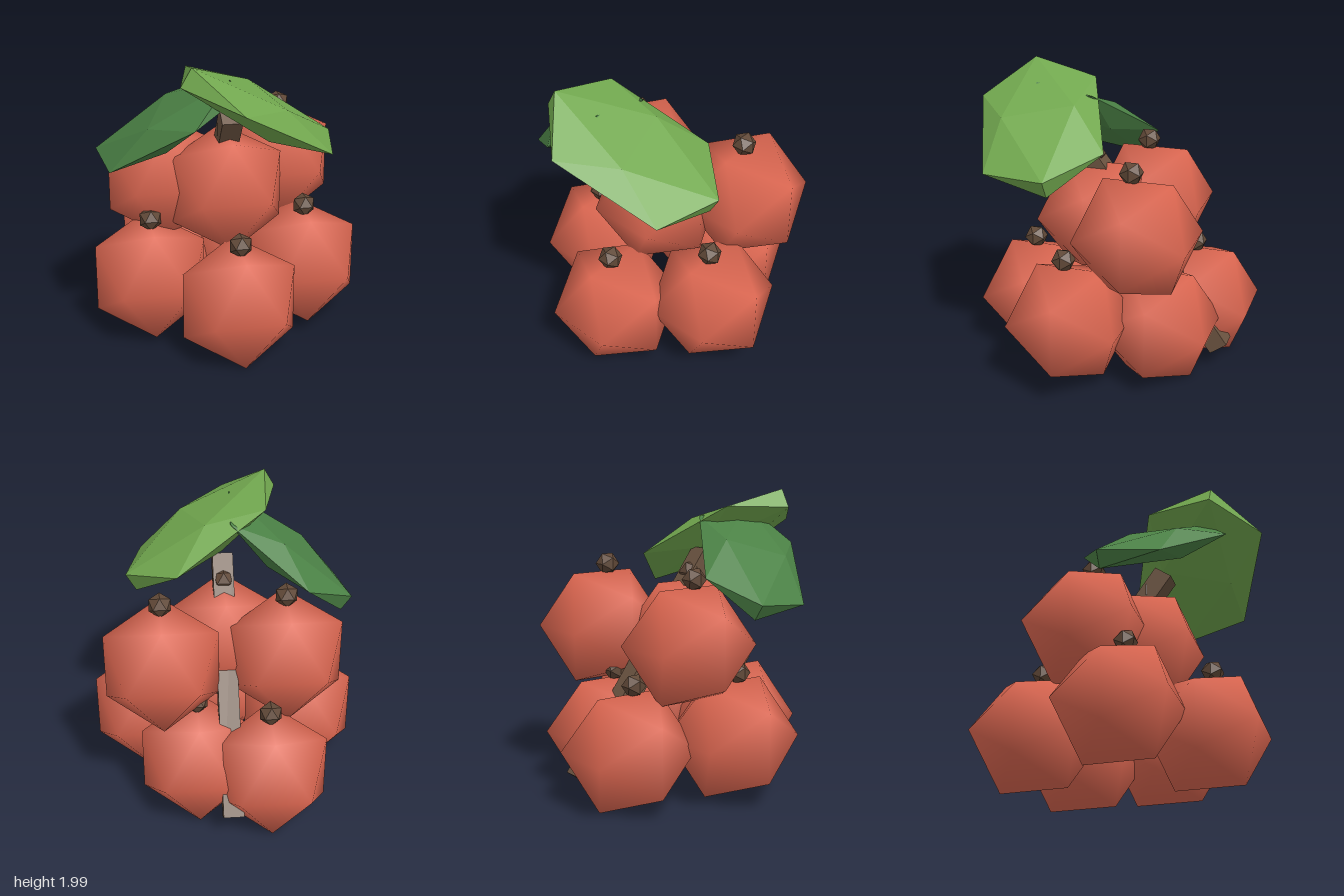
import * as THREE from 'three';
import { mergeVertices } from 'three/addons/utils/BufferGeometryUtils.js';

function material(name, color, flatShading = false) {
  const m = new THREE.MeshStandardMaterial({ color, flatShading });
  m.name = name;
  return m;
}

// Twenty-sided ball whose upper edge runs along z; optionally smooth-shaded
function ball(smooth) {
  let g = new THREE.IcosahedronGeometry(1, 0).rotateY(Math.PI / 2);
  if (smooth) {
    g.deleteAttribute('uv');
    g.deleteAttribute('normal');
    g = mergeVertices(g, 1e-4);
    g.computeVertexNormals();
  }
  return g;
}

export function createModel() {
  const root = new THREE.Group();
  root.name = 'berryCluster';

  const berryRed = material('berry red', 0xdb6650);
  const stalkBrown = material('stalk brown', 0x604837, true);
  const branchBrown = material('branch brown', 0x6b5340, true);
  const lightGreen = material('light leaf green', 0x72a84f, true);
  const darkGreen = material('dark leaf green', 0x4b8145, true);

  const smoothBall = ball(true);
  const facetedBall = ball(false);

  function add(name, geometry, mat, position, scale) {
    const mesh = new THREE.Mesh(geometry, mat);
    mesh.name = name;
    mesh.position.set(...position);
    mesh.scale.set(...scale);
    root.add(mesh);
    return mesh;
  }

  // Berries: five below, three on top, each with a small knob of stalk
  const berries = [
    ['lowerFront', 0, 0.38, 0.5],
    ['lowerLeft', 0.52, 0.465, 0.105],
    ['lowerRight', -0.52, 0.425, 0.06],
    ['lowerBackLeft', 0.21, 0.38, -0.41],
    ['lowerBackRight', -0.26, 0.38, -0.58],
    ['upperFront', 0, 1.025, 0.07],
    ['upperLeft', 0.43, 1.07, -0.32],
    ['upperRight', -0.39, 1.04, -0.2],
  ];
  for (const [name, x, y, z] of berries) {
    add(name + 'Berry', smoothBall, berryRed, [x, y, z], [0.434, 0.434, 0.434]);
    add(name + 'Stalk', facetedBall, stalkBrown, [x, y + 0.42, z + 0.042], [0.082, 0.08, 0.08]);
  }

  // Square branch leaning forward through the cluster
  const branch = add('branch', new THREE.BoxGeometry(0.136, 1.74, 0.136), branchBrown,
    [0, 0.865, -0.28], [1, 1, 1]);
  branch.rotation.x = 0.63;

  // Flattened faceted leaves, turned in their plane and then tilted sideways
  function leaf(name, mat, position, scale, yaw, tilt) {
    add(name, facetedBall, mat, position, scale)
      .rotation.set(0, THREE.MathUtils.degToRad(yaw), THREE.MathUtils.degToRad(tilt), 'ZYX');
  }
  leaf('largeLeaf', lightGreen, [0.13, 1.66, 0.435], [0.7, 0.13, 0.46], 20, -30);
  leaf('smallLeaf', darkGreen, [-0.427, 1.56, 0.275], [0.643, 0.115, 0.395], -29, 35);

  return root;
}
